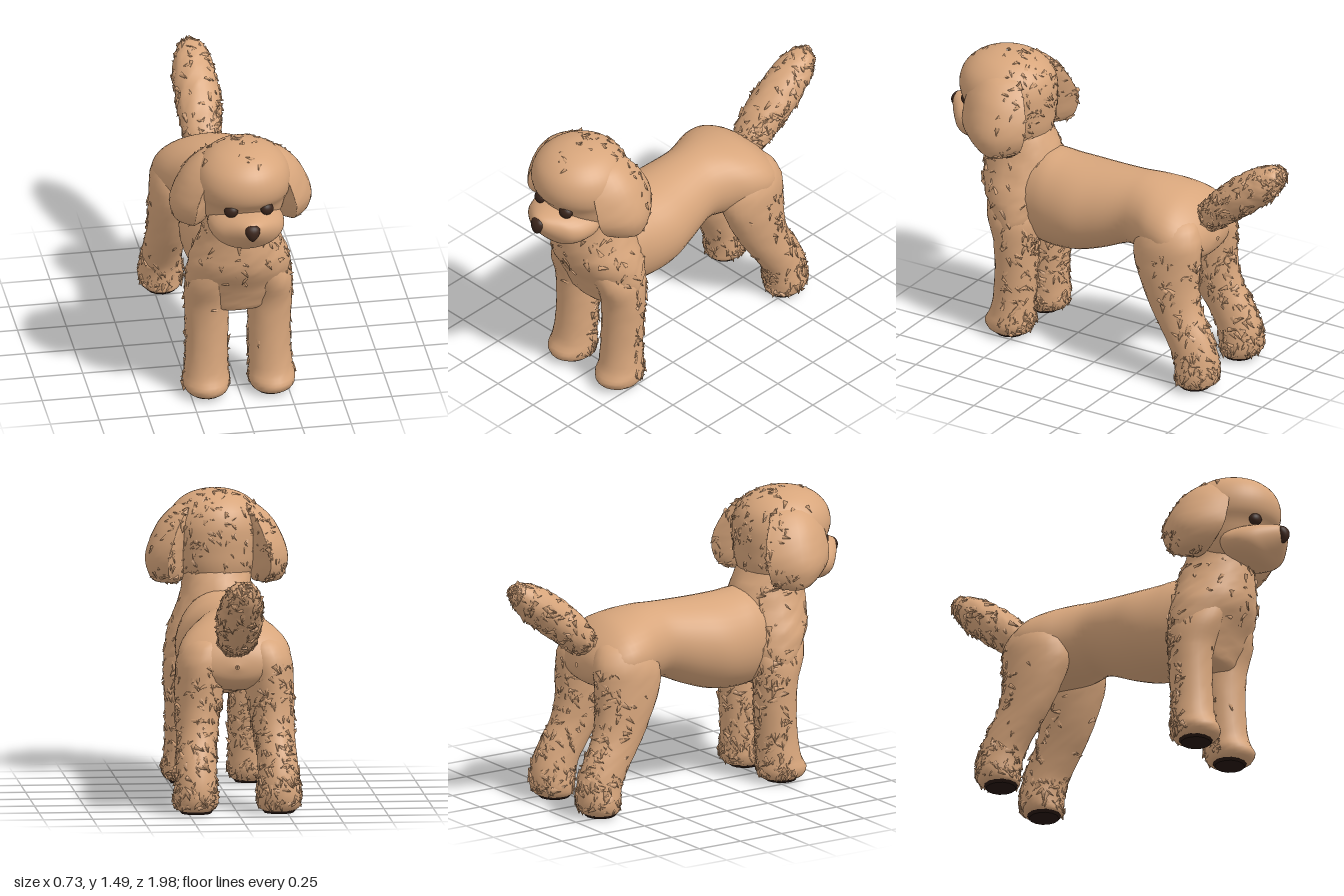
import * as THREE from 'three';
import { mergeGeometries } from 'three/addons/utils/BufferGeometryUtils.js';

const mat = (name, color) => Object.assign(new THREE.MeshStandardMaterial({ color }), { name });

export function createModel() {
  const dog = new THREE.Group();
  dog.name = 'curlyDog';
  const coat = mat('tan coat', 0xd8a67c);
  const noseMat = mat('dark brown nose', 0x3c261c);
  const eyeMat = mat('dark brown eyes', 0x38241b);
  const padMat = mat('black brown pads', 0x261711);

  // Seeded random numbers for the fur
  let seed = 7;
  const rand = () => (seed = (seed * 16807) % 2147483647) / 2147483647;

  const add = (name, geometry, material, parent = dog) => {
    const mesh = new THREE.Mesh(geometry, material);
    mesh.name = name;
    parent.add(mesh);
    return mesh;
  };

  // Smooth skin through oval rings [x, y, z, halfWidth, halfDepth].
  // upright rings lie in the xy plane (listed front to back), others in xz (bottom to top).
  // pinch above 1 draws the ovals to points along their depth.
  function loft(rings, { upright = false, rows = 30, segs = 28, rough = 0, pinch = 1 } = {}) {
    const path = new THREE.CatmullRomCurve3(rings.map(r => new THREE.Vector3(r[0], r[1], r[2])), false, 'catmullrom');
    const size = new THREE.CatmullRomCurve3(rings.map(r => new THREE.Vector3(r[3], r[4], 0)), false, 'catmullrom');
    const pos = [], index = [];
    for (let i = 0; i <= rows; i++) {
      const c = path.getPoint(i / rows), s = size.getPoint(i / rows);
      for (let j = 0; j < segs; j++) {
        const t = j / segs * Math.PI * 2, k = 1 + (rand() - 0.5) * rough;
        const cos = Math.sign(Math.cos(t)) * Math.abs(Math.cos(t)) ** pinch;
        const u = Math.max(s.x, 0.001) * k * cos, v = Math.max(s.y, 0.001) * k * Math.sin(t);
        pos.push(c.x + u, c.y + (upright ? v : 0), c.z + (upright ? 0 : v));
        if (i < rows) {
          const a = i * segs + j, b = i * segs + (j + 1) % segs;
          index.push(a, a + segs, b, b, a + segs, b + segs);
        }
      }
    }
    const g = new THREE.BufferGeometry();
    g.setAttribute('position', new THREE.Float32BufferAttribute(pos, 3));
    g.setIndex(index);
    g.computeVertexNormals();
    return g;
  }

  // Flat curls lying along a skin, where the test allows
  function curls(skin, count, where, length = 0.045) {
    const p = skin.attributes.position, n = skin.attributes.normal, list = [];
    const up = new THREE.Vector3(0, 1, 0), q = new THREE.Quaternion();
    for (let tries = 0; list.length < count && tries < count * 30; tries++) {
      const i = Math.floor(rand() * p.count);
      const at = new THREE.Vector3().fromBufferAttribute(p, i);
      const out = new THREE.Vector3().fromBufferAttribute(n, i);
      if (!where(at, out)) continue;
      const lean = new THREE.Vector3(rand() - 0.5, rand() - 0.8, rand() - 0.5).projectOnPlane(out).normalize();
      const dir = lean.addScaledVector(out, 0.2 + rand() * 0.5).normalize();
      const l = length * (0.6 + rand() * 0.6);
      const tuft = new THREE.ConeGeometry(l * 0.5, l, 5, 1, true);
      tuft.scale(1, 1, 0.65).rotateY(rand() * 6).applyQuaternion(q.setFromUnitVectors(up, dir));
      at.addScaledVector(dir, l * 0.15).addScaledVector(out, -l * 0.12);
      list.push(tuft.translate(at.x, at.y, at.z));
    }
    return mergeGeometries(list);
  }

  // Torso, tucked up at the belly and broad at the haunches
  add('torso', loft([
    [0, 0.74, 0.62, 0.01, 0.01], [0, 0.74, 0.57, 0.17, 0.2], [0, 0.745, 0.42, 0.215, 0.25],
    [0, 0.738, 0.3, 0.238, 0.25], [0, 0.745, 0.18, 0.245, 0.24], [0, 0.768, 0.05, 0.222, 0.22],
    [0, 0.802, -0.1, 0.198, 0.192], [0, 0.8, -0.2, 0.22, 0.198], [0, 0.79, -0.31, 0.268, 0.195],
    [0, 0.778, -0.42, 0.285, 0.177], [0, 0.76, -0.51, 0.245, 0.13], [0, 0.745, -0.56, 0.16, 0.075],
    [0, 0.74, -0.58, 0.01, 0.01],
  ], { upright: true, rows: 48, segs: 36 }), coat);

  // Chest and neck
  const chest = loft([
    [0, 0.48, 0.53, 0.01, 0.01], [0, 0.495, 0.53, 0.17, 0.085], [0, 0.57, 0.52, 0.255, 0.13],
    [0, 0.67, 0.525, 0.273, 0.175], [0, 0.78, 0.55, 0.255, 0.208], [0, 0.89, 0.563, 0.215, 0.207],
    [0, 1.0, 0.578, 0.18, 0.19], [0, 1.1, 0.6, 0.17, 0.16], [0, 1.2, 0.62, 0.14, 0.12],
  ], { rows: 32, segs: 36, rough: 0.04 });
  add('chestAndNeck', chest, coat);
  add('chestCurls', curls(chest, 90, a => a.y < 1.02 && a.y > 0.6), coat);

  for (const [side, s] of [['left', 1], ['right', -1]]) {
    // Front leg with rounded paw
    const front = loft([
      [s * 0.165, 0.012, 0.55, 0.01, 0.01], [s * 0.165, 0.015, 0.55, 0.088, 0.098], [s * 0.168, 0.06, 0.55, 0.118, 0.132],
      [s * 0.165, 0.13, 0.535, 0.113, 0.115], [s * 0.16, 0.25, 0.525, 0.108, 0.108], [s * 0.16, 0.4, 0.518, 0.11, 0.11],
      [s * 0.163, 0.53, 0.52, 0.113, 0.118], [s * 0.155, 0.65, 0.535, 0.113, 0.145], [s * 0.12, 0.77, 0.55, 0.09, 0.15],
    ], { rough: 0.03 });
    add(side + 'FrontLeg', front, coat);
    add(side + 'FrontLegCurls', curls(front, 180, (a, n) => a.y < 0.62 && a.y > 0.03 && (n.z < 0.1 || rand() < 0.03)), coat);

    // Hind leg: broad thigh, bent hock, rounded paw
    const hind = loft([
      [s * 0.21, 0.012, -0.575, 0.01, 0.01], [s * 0.21, 0.015, -0.575, 0.088, 0.09], [s * 0.212, 0.07, -0.59, 0.115, 0.112],
      [s * 0.21, 0.17, -0.578, 0.105, 0.122], [s * 0.205, 0.28, -0.525, 0.102, 0.135], [s * 0.195, 0.4, -0.455, 0.105, 0.142],
      [s * 0.185, 0.53, -0.41, 0.118, 0.16], [s * 0.175, 0.66, -0.388, 0.126, 0.186], [s * 0.163, 0.77, -0.395, 0.128, 0.176],
      [s * 0.135, 0.86, -0.4, 0.1, 0.12], [s * 0.11, 0.9, -0.4, 0.01, 0.01],
    ], { rows: 38, rough: 0.03 });
    add(side + 'HindLeg', hind, coat);
    add(side + 'HindLegCurls', curls(hind, 240, (a, n) => a.y < 0.75 && a.y > 0.03 && (n.z < 0 || a.y < 0.2 || rand() < 0.06)), coat);

    // Paw pads
    for (const [name, x, z] of [['FrontPad', 0.165, 0.55], ['HindPad', 0.21, -0.575]])
      add(side + name, new THREE.CylinderGeometry(0.094, 0.076, 0.024, 14).translate(s * x, 0.012, z), padMat);
  }

  // Tail, raised behind
  const tail = new THREE.Group();
  tail.name = 'tail';
  tail.position.set(0, 0.81, -0.48);
  tail.rotation.x = -0.89;
  const tailSkin = loft([
    [0, 0, 0, 0.04, 0.04], [0, 0.07, 0, 0.088, 0.072], [0, 0.2, 0.005, 0.11, 0.094], [0, 0.36, 0.005, 0.112, 0.1],
    [0, 0.5, 0, 0.098, 0.086], [0, 0.59, 0, 0.063, 0.053], [0, 0.625, 0, 0.01, 0.01],
  ], { rough: 0.09 });
  add('tailCore', tailSkin, coat, tail);
  add('tailCurls', curls(tailSkin, 270, a => a.y > 0.03), coat, tail);
  dog.add(tail);

  // Head, with the forehead overhanging the eyes
  const head = new THREE.Group();
  head.name = 'head';
  dog.add(head);
  const skull = loft([
    [0, 1.0, 0.61, 0.01, 0.01], [0, 1.02, 0.615, 0.14, 0.15], [0, 1.1, 0.625, 0.2, 0.2], [0, 1.19, 0.638, 0.225, 0.224],
    [0, 1.25, 0.657, 0.242, 0.247], [0, 1.32, 0.664, 0.243, 0.25], [0, 1.39, 0.665, 0.215, 0.225],
    [0, 1.445, 0.665, 0.155, 0.165], [0, 1.474, 0.665, 0.08, 0.085], [0, 1.482, 0.665, 0.01, 0.01],
  ], { rows: 36, segs: 40 });
  add('skull', skull, coat, head);
  add('skullCurls', curls(skull, 120, a => (a.z < 0.6 && a.y > 1.05) || (a.y > 1.4 && rand() < 0.15), 0.038), coat, head);

  // Muzzle
  add('muzzle', loft([
    [0, 1.13, 0.978, 0.01, 0.01], [0, 1.13, 0.965, 0.05, 0.042], [0, 1.108, 0.92, 0.112, 0.077],
    [0, 1.088, 0.87, 0.162, 0.1], [0, 1.085, 0.8, 0.19, 0.103], [0, 1.09, 0.71, 0.185, 0.09], [0, 1.1, 0.65, 0.1, 0.05],
  ], { upright: true, segs: 36 }), coat, head);

  // Nose: rounded triangle, narrow at the bottom
  const nose = new THREE.SphereGeometry(1, 20, 16), np = nose.attributes.position;
  for (let i = 0; i < np.count; i++) np.setX(i, np.getX(i) * (0.85 + 0.35 * np.getY(i)));
  nose.scale(0.043, 0.045, 0.032).translate(0, 1.125, 0.966);
  nose.computeVertexNormals();
  add('nose', nose, noseMat, head);

  for (const [side, s] of [['left', 1], ['right', -1]]) {
    // Drooping upper lip
    const lip = add(side + 'Lip', new THREE.SphereGeometry(1, 32, 24).scale(0.1, 0.055, 0.055), coat, head);
    lip.position.set(s * 0.075, 1.105, 0.875);
    lip.rotation.set(0, s * 0.6, -s * 0.25);

    // Eye under the brow
    const eye = add(side + 'Eye', new THREE.SphereGeometry(1, 24, 16).scale(0.036, 0.032, 0.026), eyeMat, head);
    eye.position.set(s * 0.092, 1.202, 0.858);
    eye.rotation.set(-0.2, s * 0.4, -s * 0.2);

    // Hanging ear
    const ear = loft([
      [s * 0.24, 1.018, 0.57, 0.01, 0.01], [s * 0.25, 1.027, 0.575, 0.07, 0.085], [s * 0.258, 1.075, 0.585, 0.092, 0.15],
      [s * 0.258, 1.15, 0.595, 0.105, 0.185], [s * 0.237, 1.24, 0.6, 0.1, 0.185], [s * 0.2, 1.33, 0.61, 0.088, 0.16],
      [s * 0.155, 1.4, 0.62, 0.06, 0.11], [s * 0.12, 1.43, 0.62, 0.01, 0.01],
    ], { segs: 32, rough: 0.02, pinch: 2.1 });
    add(side + 'Ear', ear, coat, head);
    add(side + 'EarCurls', curls(ear, 60, (a, n) => n.z < -0.35 || (a.y < 1.07 && rand() < 0.2), 0.038), coat, head);
  }
  return dog;
}
